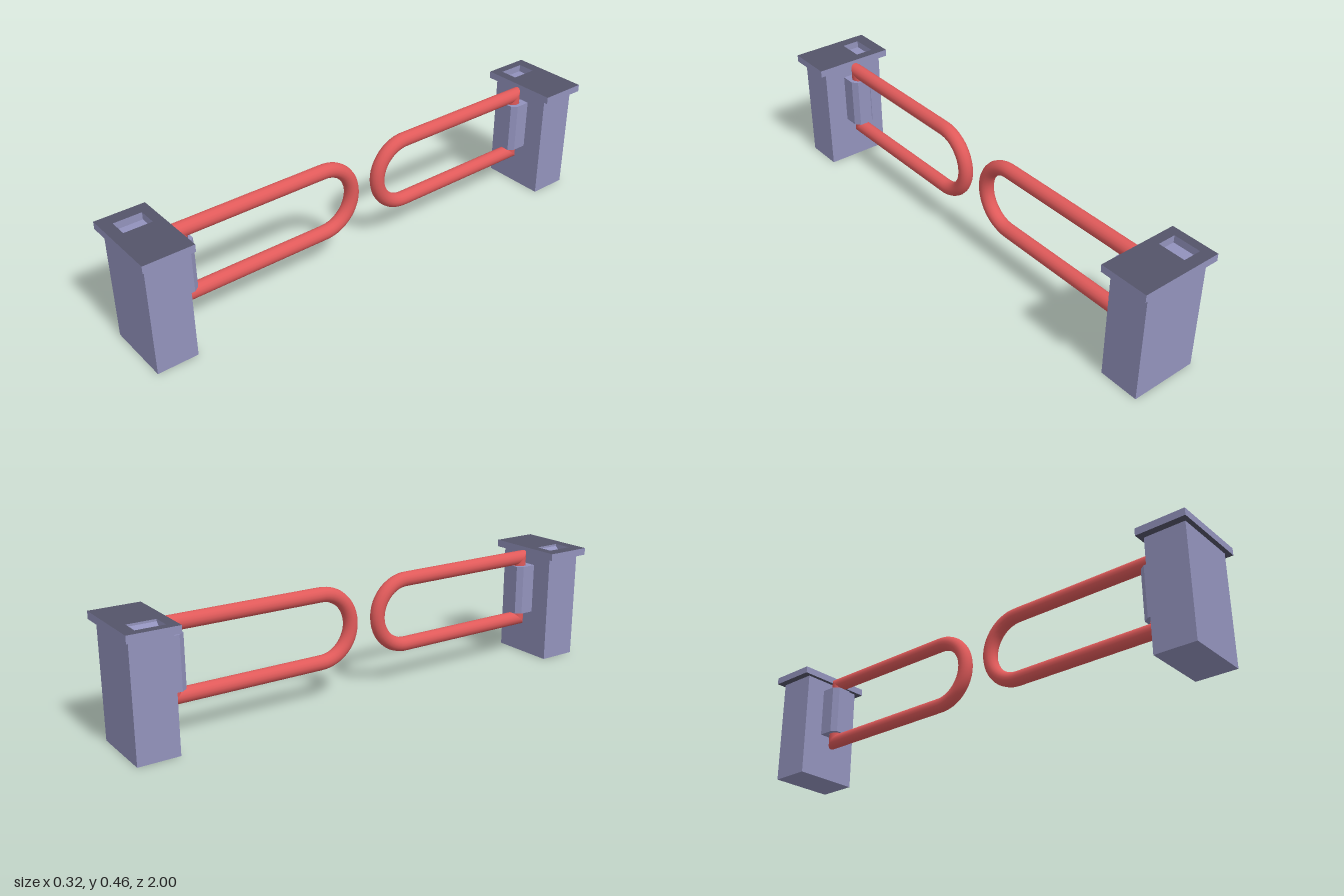
import * as THREE from 'three';

const material = (name, color) => {
  const m = new THREE.MeshStandardMaterial({ color });
  m.name = name;
  return m;
};

// Loop measurements: arm half spacing, mid height, pin depth, bend depth, tube radius
const R = 0.13, MID = 0.287, PIN_Z = 0.784, BEND_Z = 0.192, TUBE = 0.028;

// Hairpin centreline: upper arm, half circle, lower arm
class Hairpin extends THREE.Curve {
  getPoint(t, target = new THREE.Vector3()) {
    const arm = PIN_Z - BEND_Z, arc = Math.PI * R;
    const d = t * (2 * arm + arc);
    if (d <= arm) return target.set(0, MID + R, PIN_Z - d);
    if (d >= arm + arc) return target.set(0, MID - R, BEND_Z + d - arm - arc);
    const a = (d - arm) / R;
    return target.set(0, MID + R * Math.cos(a), BEND_Z - R * Math.sin(a));
  }
}

// Vertical extrusion of an outline given as [x, z] points
function slab(points, hole, y, height) {
  const shape = new THREE.Shape(points.map(([x, z]) => new THREE.Vector2(x, -z)));
  if (hole) shape.holes.push(hole);
  const g = new THREE.ExtrudeGeometry(shape, { depth: height, bevelEnabled: false, curveSegments: 16 });
  return g.rotateX(-Math.PI / 2).translate(0, y, 0);
}

const rect = (x0, x1, z0, z1) => [[x0, z0], [x0, z1], [x1, z1], [x1, z0]];

export function createModel() {
  const body = material('lavender grey', 0x9292bc);
  const lid = material('dark slate', 0x545469);
  const red = material('red', 0xe05a5a);

  function add(parent, name, geometry, mat) {
    const mesh = new THREE.Mesh(geometry, mat);
    mesh.name = name;
    parent.add(mesh);
  }

  // One post with its hinged loop, facing inward along -z
  function createEnd(name, pocketX, rampSide) {
    const end = new THREE.Group();
    end.name = name;

    add(end, 'post', new THREE.BoxGeometry(0.262, 0.43, 0.155).translate(0, 0.215, 0.9055), body);

    // Cap plate with a rectangular pocket
    const pocket = new THREE.Path(
      rect(pocketX - 0.036, pocketX + 0.036, 0.85, 0.956).map(([x, z]) => new THREE.Vector2(x, -z)));
    add(end, 'capPlate', slab(rect(-0.16, 0.16, 0.812, 1), pocket, 0.43, 0.028), [lid, body]);

    // Small ramp along one side of the pocket
    const ramp = new THREE.Shape([
      new THREE.Vector2(rampSide * 0.016, 0),
      new THREE.Vector2(rampSide * 0.036, 0),
      new THREE.Vector2(rampSide * 0.036, 0.02),
    ]);
    add(end, 'pocketRamp', new THREE.ExtrudeGeometry(ramp, { depth: 0.106, bevelEnabled: false })
      .translate(pocketX, 0.43, 0.85), body);

    // Chamfered hinge housing with a bore for the pin
    const bore = new THREE.Path().absarc(0, -PIN_Z, TUBE + 0.001, 0, Math.PI * 2);
    add(end, 'hingeHousing', slab([
      [-0.045, 0.83], [0.045, 0.83], [0.045, 0.77], [0.028, 0.748], [-0.028, 0.748], [-0.045, 0.77],
    ], bore, 0.187, 0.2), body);

    // Loop arms, with both ends mitred at 45 degrees
    const arms = new THREE.TubeGeometry(new Hairpin(), 90, TUBE, 16);
    const p = arms.attributes.position;
    for (let i = 0; i < p.count; i++) {
      if (p.getZ(i) > PIN_Z - 0.002) p.setZ(i, PIN_Z + Math.abs(p.getY(i) - MID) - R);
    }
    add(end, 'loopArms', arms, red);

    // Hinge pin, mitred to meet the arms
    const pin = new THREE.CylinderGeometry(TUBE, TUBE, 2 * R, 16, 1, true).translate(0, MID, PIN_Z);
    const q = pin.attributes.position;
    for (let i = 0; i < q.count; i++) {
      const s = Math.sign(q.getY(i) - MID);
      q.setY(i, MID + s * (R + q.getZ(i) - PIN_Z));
    }
    add(end, 'hingePin', pin, red);
    return end;
  }

  const model = new THREE.Group();
  model.name = 'facingLoopPosts';
  model.add(createEnd('frontEnd', -0.075, 1));
  const back = createEnd('backEnd', 0.09, -1);
  back.rotation.y = Math.PI;
  model.add(back);
  return model;
}
